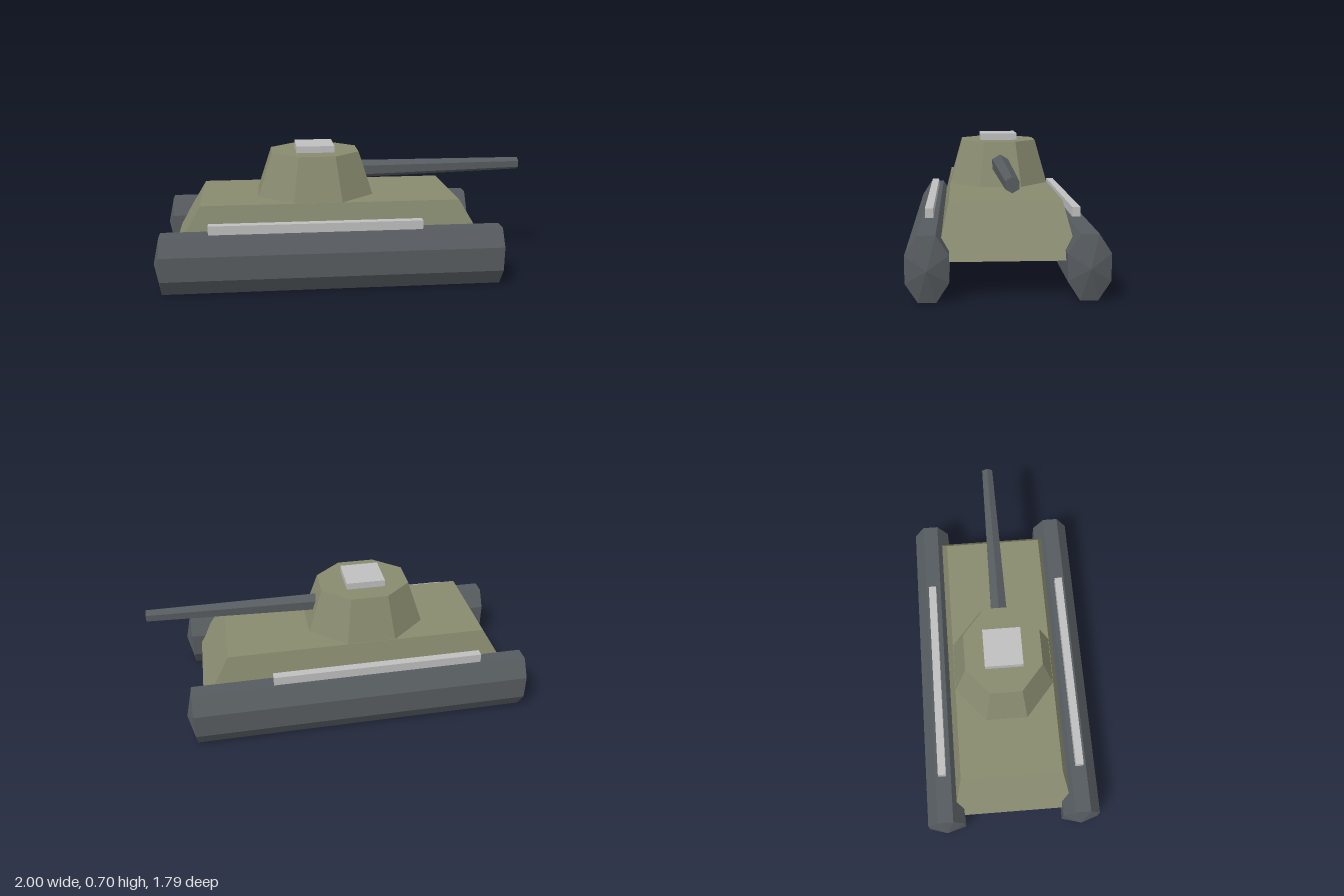
import * as THREE from 'three';

const olive = new THREE.MeshStandardMaterial({ color: 0x888b6f });
olive.name = 'olive paint';
const darkGrey = new THREE.MeshStandardMaterial({ color: 0x565b5f });
darkGrey.name = 'dark grey metal';
const lightGrey = new THREE.MeshStandardMaterial({ color: 0xbebebe });
lightGrey.name = 'light grey metal';

// Faceted mesh: every face gets its own flat normal
function part(name, geometry, material, x, y, z) {
  const flat = geometry.toNonIndexed();
  flat.computeVertexNormals();
  const mesh = new THREE.Mesh(flat, material);
  mesh.name = name;
  mesh.position.set(x, y, z);
  return mesh;
}

// Tapered prism with flat sides on its axes; halfX and halfZ are measured at the base
function frustum(sides, halfX, halfZ, taper, height) {
  const r = 1 / Math.cos(Math.PI / sides);
  return new THREE.CylinderGeometry(r * taper, r, height, sides, 1, false, Math.PI / sides)
    .scale(halfX, 1, halfZ);
}

// Narrow octagonal track with shallow pointed ends, lying along x
function trackGeometry() {
  const r = 0.155 / Math.cos(Math.PI / 8);
  const profile = [[0, -0.93], [r, -0.893], [r, 0.893], [0, 0.93]]
    .map(([x, y]) => new THREE.Vector2(x, y));
  return new THREE.LatheGeometry(profile, 8, Math.PI / 8)
    .rotateZ(-Math.PI / 2)
    .scale(1, 1, 0.1 / 0.155);
}

export function createModel() {
  const model = new THREE.Group();
  model.name = 'tank';

  // Body: sloped hull and octagonal turret
  model.add(part('hull', frustum(4, 0.842, 0.328, 0.82, 0.255), olive, 0, 0.3025, 0));
  model.add(part('turret', frustum(8, 0.313, 0.267, 0.757, 0.235), olive, -0.07, 0.5475, 0));
  model.add(part('hatch', new THREE.BoxGeometry(0.207, 0.045, 0.2), lightGrey, -0.07, 0.6785, 0));

  // Gun barrel: tapered hexagon, raised slightly towards the muzzle
  const start = new THREE.Vector2(0.15, 0.549);
  const end = new THREE.Vector2(1.093, 0.5625);
  const barrelGeometry = new THREE.CylinderGeometry(
    0.034, 0.05, start.distanceTo(end), 6, 1, false, Math.PI / 2).rotateZ(-Math.PI / 2);
  const barrel = part('gunBarrel', barrelGeometry, darkGrey,
    (start.x + end.x) / 2, (start.y + end.y) / 2, 0);
  barrel.rotation.z = Math.atan2(end.y - start.y, end.x - start.x);
  model.add(barrel);

  // Tracks with a rail on top, one pair per side
  for (const [side, s] of [['right', 1], ['left', -1]]) {
    model.add(part(side + 'Track', trackGeometry(), darkGrey, 0, 0.155, s * 0.368));
    model.add(part(side + 'Rail', new THREE.BoxGeometry(1.115, 0.055, 0.042), lightGrey,
      -0.088, 0.33, s * 0.372));
  }

  // The vehicle stands turned on the ground
  model.rotation.y = THREE.MathUtils.degToRad(-35);
  const root = new THREE.Group();
  root.name = 'model';
  root.add(model);
  return root;
}
